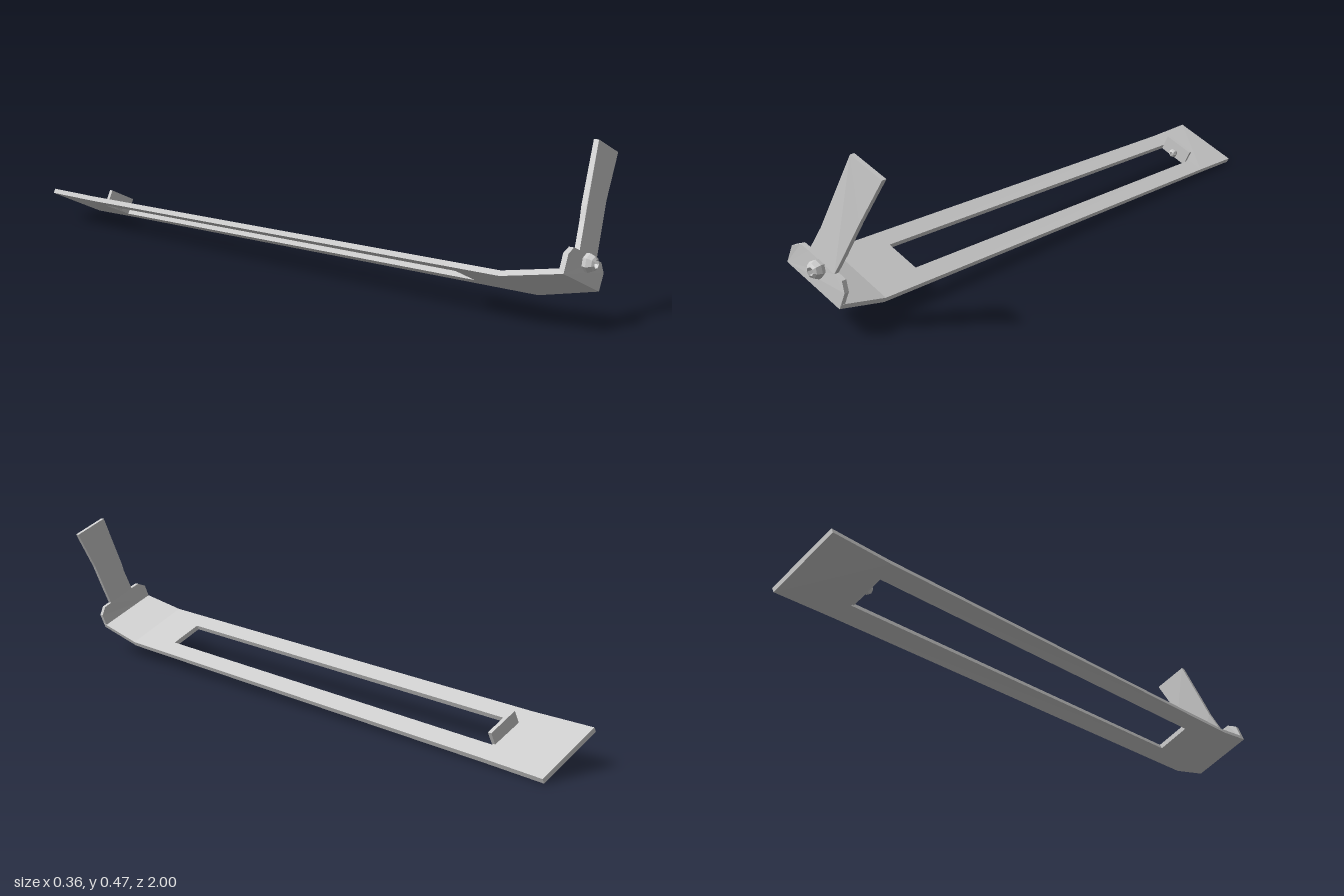
import * as THREE from 'three';

const mat = new THREE.MeshStandardMaterial({ color: 0xcccccc, flatShading: true });
const ROLL = -0.46; // the whole bracket is rolled about z
const N = [-Math.sin(ROLL), Math.cos(ROLL)]; // upward normal of the rolled plate
const THICK = 0.015;

// Underside edges of the long plate: [z, left x, left y, right x, right y]
const EDGES = [
  [0.97, -0.13, 0.167, 0.05, 0.082],
  [0.8, -0.155, 0.135, 0.035, 0.042],
  [-0.8, -0.173, 0.097, 0.021, 0.006],
  [-1, -0.178, 0.096, 0.02, 0],
];

function edgeAt(z) {
  let i = 0;
  while (i < EDGES.length - 2 && z < EDGES[i + 1][0]) i++;
  const a = EDGES[i], b = EDGES[i + 1];
  const t = (z - a[0]) / (b[0] - a[0]);
  return a.map((v, k) => v + (b[k] - v) * t);
}

// Solid strip between two fractions of the plate width, through the given z stations
function strip(zs, f0, f1) {
  const rings = zs.map((z) => {
    const [, lx, ly, rx, ry] = edgeAt(z);
    const at = (f, h) => [lx + (rx - lx) * f + N[0] * h, ly + (ry - ly) * f + N[1] * h, z];
    return [at(f0, 0), at(f1, 0), at(f1, THICK), at(f0, THICK)];
  });
  const pos = [];
  const quad = (a, b, c, d) => pos.push(...a, ...b, ...c, ...a, ...c, ...d);
  quad(...rings[0]);
  for (let r = 0; r < rings.length - 1; r++) {
    const f = rings[r], b = rings[r + 1];
    for (let i = 0; i < 4; i++) {
      const j = (i + 1) % 4;
      quad(f[i], b[i], b[j], f[j]);
    }
  }
  quad(...rings[rings.length - 1].slice().reverse());
  const g = new THREE.BufferGeometry();
  g.setAttribute('position', new THREE.Float32BufferAttribute(pos, 3));
  g.computeVertexNormals();
  return g;
}

// Upright end plate with shoulders and a leaning arm
function uprightGeometry() {
  const outline = [
    [-0.13, 0.167], [0.05, 0.082], [0.07, 0.128], [0.06, 0.158], [0.035, 0.17],
    [0.062, 0.22], [0.108, 0.31], [0.178, 0.428], [0.075, 0.475], [0, 0.315],
    [-0.015, 0.28], [-0.052, 0.213], [-0.08, 0.225], [-0.11, 0.215],
  ];
  const shape = new THREE.Shape(outline.map((p) => new THREE.Vector2(...p)));
  const g = new THREE.ExtrudeGeometry(shape, { depth: THICK, bevelEnabled: false });
  const p = g.attributes.position;
  for (let i = 0; i < p.count; i++) {
    const v = p.getX(i) * N[0] + p.getY(i) * N[1];
    const lean = 0.14 * THREE.MathUtils.clamp(v - 0.15, 0, 0.15) + 0.08 * Math.max(0, v - 0.3);
    p.setZ(i, p.getZ(i) + 0.957 - lean);
  }
  g.computeVertexNormals();
  return g;
}

// Faceted dome head with a socket, axis along +z
function boltGeometry(r, h) {
  const profile = [[0, 0.45], [0.4, 0.45], [0.45, 1], [0.75, 0.85], [1, 0.45], [0.9, 0], [0, 0]];
  const pts = profile.map(([x, y]) => new THREE.Vector2(x * r, y * h)).reverse();
  return new THREE.LatheGeometry(pts, 7).rotateX(Math.PI / 2);
}

export function createModel() {
  const model = new THREE.Group();
  const add = (name, geometry, x = 0, y = 0, z = 0, roll = 0) => {
    const m = new THREE.Mesh(geometry, mat);
    m.name = name;
    m.position.set(x, y, z);
    m.rotation.z = roll;
    model.add(m);
  };

  // Long slotted plate
  const slot = [0.63, -0.79];
  add('plateHead', strip([0.97, 0.8, slot[0]], 0, 1));
  add('railRight', strip(slot, 0, 0.25));
  add('railLeft', strip(slot, 0.74, 1));
  add('plateTail', strip([slot[1], -0.8, -1], 0, 1));

  // Upright arm and its bolt
  add('uprightArm', uprightGeometry());
  add('armBolt', boltGeometry(0.026, 0.034), -0.018, 0.174, 0.966, ROLL);

  // Small tab at the rear of the slot with its bolt
  add('rearTab', new THREE.BoxGeometry(0.1, 0.052, 0.012), -0.066, 0.077, -0.79, ROLL);
  add('tabBolt', boltGeometry(0.015, 0.018), -0.073, 0.067, -0.785, ROLL);
  return model;
}
